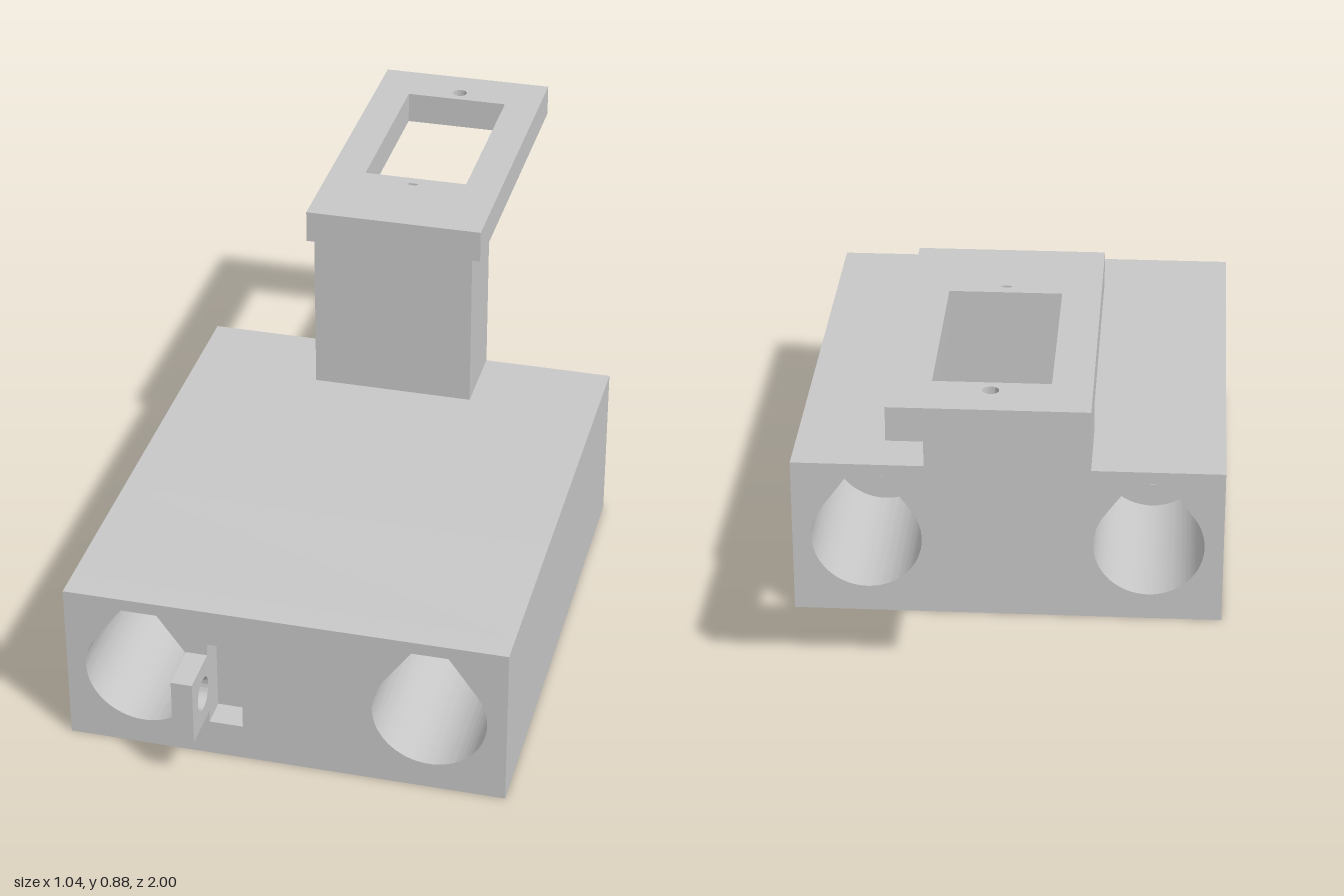
import * as THREE from 'three';
import { toCreasedNormals } from 'three/addons/utils/BufferGeometryUtils.js';

const grey = new THREE.MeshStandardMaterial({ color: 0xc8c8c8 });
grey.name = 'light grey plastic';

// Rectangle between two corners
function rect(Type, x0, y0, x1, y1) {
  const p = new Type();
  p.moveTo(x0, y0);
  p.lineTo(x1, y0);
  p.lineTo(x1, y1);
  p.lineTo(x0, y1);
  p.closePath();
  return p;
}

function ellipse(x, y, rx, ry = rx) {
  const p = new THREE.Path();
  p.absellipse(x, y, rx, ry, 0, Math.PI * 2, true);
  return p;
}

// Circle with tangent sides rising to a peak, cut flat at height top
function teardrop(cx, cy, r, top) {
  const a = 0.624; // angle of the tangent point
  const peak = cy + r / Math.sin(a);
  const half = Math.max(0, peak - top) * Math.tan(a);
  const p = new THREE.Path();
  p.absarc(cx, cy, r, a, Math.PI - a, true);
  p.lineTo(cx - half, Math.min(top, peak));
  if (half > 0) p.lineTo(cx + half, top);
  p.closePath();
  return p;
}

function extrude(shape, depth) {
  const g = new THREE.ExtrudeGeometry(shape, { depth, bevelEnabled: false, curveSegments: 40 });
  return toCreasedNormals(g, 0.5);
}

function add(parent, name, geometry) {
  const mesh = new THREE.Mesh(geometry, grey);
  mesh.name = name;
  parent.add(mesh);
  return mesh;
}

export function createModel() {
  const model = new THREE.Group();
  model.name = 'bearingCarriage';

  // Block in slices along z: wide bearing pockets at both ends, narrow bores between
  const block = new THREE.Group();
  block.name = 'block';
  model.add(block);
  const slices = [
    ['rearPockets', -0.36, 0.09, true, false],
    ['middleBores', 0.09, 0.43, false, false],
    ['frontPockets', 0.43, 0.81, true, false],
    ['frontFace', 0.81, 0.88, true, true],
  ];
  for (const [name, z0, z1, wide, slot] of slices) {
    const shape = rect(THREE.Shape, -0.521, 0, 0.521, 0.4);
    for (const x of [-0.341, 0.341]) {
      shape.holes.push(wide ? teardrop(x, 0.2, 0.134, 0.37) : teardrop(x, 0.2, 0.073, 1));
    }
    // Shallow recess beside the front tab
    if (slot) shape.holes.push(rect(THREE.Path, -0.18, 0.09, -0.1, 0.31));
    add(block, name, extrude(shape, z1 - z0)).position.z = z0;
  }

  // Front tab with a cross hole, drawn in (-z, y) and extruded along x
  const tabShape = rect(THREE.Shape, -1, 0.12, -0.88, 0.28);
  tabShape.holes.push(ellipse(-0.921, 0.2, 0.04));
  const tab = extrude(tabShape, 0.05);
  tab.rotateY(Math.PI / 2);
  add(model, 'frontTab', tab).position.x = -0.23;

  // Post, flush with the rear of the block
  const post = add(model, 'post', new THREE.BoxGeometry(0.4, 0.4, 0.2));
  post.position.set(0, 0.6, -0.26);

  // Mounting plate with window and screw holes, drawn in (x, -z)
  const plateShape = rect(THREE.Shape, -0.22, 0.16, 0.22, 1);
  plateShape.holes.push(
    rect(THREE.Path, -0.13, 0.4, 0.13, 0.868),
    ellipse(0, 0.906, 0.018),
    ellipse(0, 0.368, 0.013, 0.005),
  );
  const plate = extrude(plateShape, 0.08);
  plate.rotateX(-Math.PI / 2);
  add(model, 'mountingPlate', plate).position.y = 0.8;

  return model;
}
